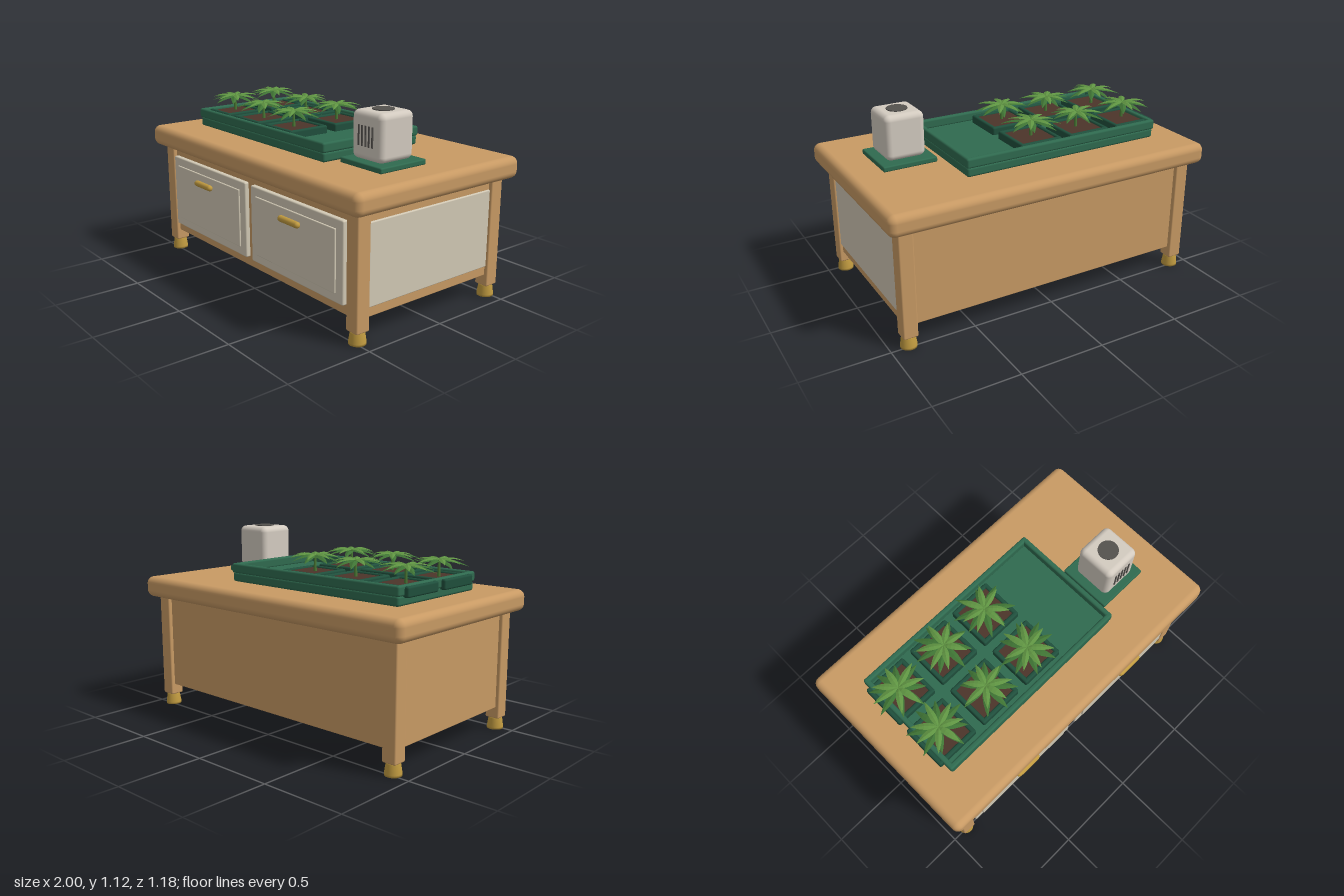
import * as THREE from 'three';
import { RoundedBoxGeometry } from 'three/addons/geometries/RoundedBoxGeometry.js';

const mat = (color, side = THREE.FrontSide) => new THREE.MeshStandardMaterial({ color, side });

export function createModel() {
  const model = new THREE.Group();
  const wood = mat(0xc89a64), cream = mat(0xd2c9b5), gold = mat(0xc09a40);
  const green = mat(0x2f6a4f), potGreen = mat(0x1f4f3c), soilBrown = mat(0x4c342a);
  const shell = mat(0xd3cbc0), dark = mat(0x55524e), stemGreen = mat(0x4a7a35);
  const leafLight = mat(0x5f9442, THREE.DoubleSide), leafDark = mat(0x3f7434, THREE.DoubleSide);

  const add = (name, geometry, material, x, y, z, parent = model) => {
    const mesh = new THREE.Mesh(geometry, material);
    mesh.name = name;
    mesh.position.set(x, y, z);
    parent.add(mesh);
    return mesh;
  };
  // Rounded block given by its extents on each axis
  const block = (name, [x0, x1], [y0, y1], [z0, z1], r, material, parent) =>
    add(name, new RoundedBoxGeometry(x1 - x0, y1 - y0, z1 - z0, 4, r), material,
      (x0 + x1) / 2, (y0 + y1) / 2, (z0 + z1) / 2, parent);

  // Table top and cabinet body
  block('tableTop', [-1, 1], [0.697, 0.822], [-0.592, 0.592], 0.042, wood);
  block('cabinetBody', [-0.915, 0.915], [0.133, 0.71], [-0.505, 0.505], 0.006, wood);
  block('sidePanel', [0.89, 0.926], [0.19, 0.64], [-0.442, 0.442], 0.006, cream);

  // Legs with tapered feet
  const footProfile = [[0, 0], [0.047, 0], [0.047, 0.012], [0.039, 0.064], [0.035, 0.072], [0, 0.072]]
    .map(([r, y]) => new THREE.Vector2(r, y));
  for (const sx of [-1, 1]) for (const sz of [-1, 1]) {
    const x = sx * 0.893, z = sz * 0.486;
    block('leg', [x - 0.043, x + 0.043], [0.068, 0.71], [z - 0.043, z + 0.043], 0.009, wood);
    add('foot', new THREE.LatheGeometry(footProfile, 24), gold, x, 0, z);
  }

  // Drawers with raised fields and bar handles
  for (const cx of [-0.432, 0.428]) {
    const drawer = new THREE.Group();
    drawer.name = 'drawer';
    model.add(drawer);
    block('drawerFront', [cx - 0.402, cx + 0.402], [0.19, 0.64], [0.49, 0.532], 0.009, cream, drawer);
    block('drawerField', [cx - 0.348, cx + 0.348], [0.242, 0.588], [0.51, 0.541], 0.005, cream, drawer);
    add('drawerHandle', new THREE.CapsuleGeometry(0.018, 0.14, 6, 16), gold, cx, 0.538, 0.564, drawer)
      .rotation.z = Math.PI / 2;
  }

  // Tray: base slab and raised rim
  const tray = new THREE.Group();
  tray.name = 'tray';
  model.add(tray);
  block('trayBase', [-0.797, 0.447], [0.822, 0.878], [-0.346, 0.346], 0.014, green, tray);
  for (const [x0, x1] of [[-0.803, -0.772], [0.42, 0.451]])
    block('trayRimEnd', [x0, x1], [0.874, 0.931], [-0.351, 0.351], 0.012, green, tray);
  for (const s of [-1, 1])
    block('trayRimSide', [-0.803, 0.451], [0.874, 0.931], [s * 0.336 - 0.0155, s * 0.336 + 0.0155], 0.012, green, tray);

  // Folded, drooping leaf built from three-point cross-sections
  const leafGeometry = (length, width, lift, droop) => {
    const steps = 6, points = [], index = [];
    for (let i = 0; i <= steps; i++) {
      const t = i / steps;
      const w = width * Math.pow(Math.sin(Math.PI * Math.pow(t, 0.75)), 0.9) * 0.5 || 0;
      const y = lift * t - droop * t * t;
      points.push(t * length, y, -w, t * length, y + w * 0.35, 0, t * length, y, w);
    }
    for (let i = 0; i < steps; i++) for (let j = 0; j < 2; j++) {
      const a = i * 3 + j;
      index.push(a, a + 1, a + 3, a + 1, a + 4, a + 3);
    }
    const g = new THREE.BufferGeometry();
    g.setAttribute('position', new THREE.Float32BufferAttribute(points, 3));
    g.setIndex(index);
    const flat = g.toNonIndexed();
    flat.computeVertexNormals();
    return flat;
  };

  let seed = 7;
  const random = () => (seed = (seed * 16807) % 2147483647) / 2147483647;

  // Six square pots, each with soil and a star-shaped plant
  for (const px of [-0.693, -0.37, -0.047]) for (const pz of [-0.167, 0.157]) {
    const pot = new THREE.Group();
    pot.name = 'pottedPlant';
    pot.position.set(px, 0, pz);
    model.add(pot);
    block('potBody', [-0.12, 0.12], [0.868, 0.902], [-0.12, 0.12], 0.01, potGreen, pot);
    for (const s of [-1, 1]) {
      const span = [s * 0.121 - 0.013, s * 0.121 + 0.013];
      block('potRim', span, [0.865, 0.924], [-0.134, 0.134], 0.011, potGreen, pot);
      block('potRim', [-0.134, 0.134], [0.865, 0.924], span, 0.011, potGreen, pot);
    }
    add('soil', new THREE.BoxGeometry(0.222, 0.02, 0.222), soilBrown, 0, 0.904, 0, pot);

    const plant = new THREE.Group();
    plant.name = 'plant';
    plant.position.set((random() - 0.5) * 0.02, 0.91, (random() - 0.5) * 0.02);
    plant.rotation.y = random() * 6;
    pot.add(plant);
    add('stem', new THREE.CylinderGeometry(0.007, 0.01, 0.095, 8), stemGreen, 0, 0.0475, 0, plant);
    const layers = [[8, 0.165, 0.042, 0.02, 0.042, 0.088, leafDark], [7, 0.15, 0.038, 0.035, 0.045, 0.095, leafLight]];
    layers.forEach(([count, length, width, lift, droop, y, material], k) => {
      for (let i = 0; i < count; i++) {
        const size = 0.85 + random() * 0.25;
        const leaf = add('leaf', leafGeometry(length * size, width, lift, droop), material, 0, y, 0, plant);
        leaf.rotation.y = ((i + k * 0.5 + (random() - 0.5) * 0.35) / count) * Math.PI * 2;
      }
    });
  }

  // Vented appliance on its mat
  const appliance = new THREE.Group();
  appliance.name = 'appliance';
  model.add(appliance);
  block('mat', [0.485, 0.806], [0.822, 0.853], [-0.056, 0.266], 0.008, green, appliance);
  block('applianceBody', [0.529, 0.763], [0.853, 1.114], [-0.009, 0.228], 0.034, shell, appliance);
  for (let i = 0; i < 5; i++)
    add('ventSlot', new THREE.BoxGeometry(0.01, 0.11, 0.012), dark, 0.594 + i * 0.026, 0.986, 0.227, appliance);
  add('topOutlet', new THREE.CylinderGeometry(0.059, 0.059, 0.012, 32), dark, 0.646, 1.113, 0.108, appliance);

  return model;
}
